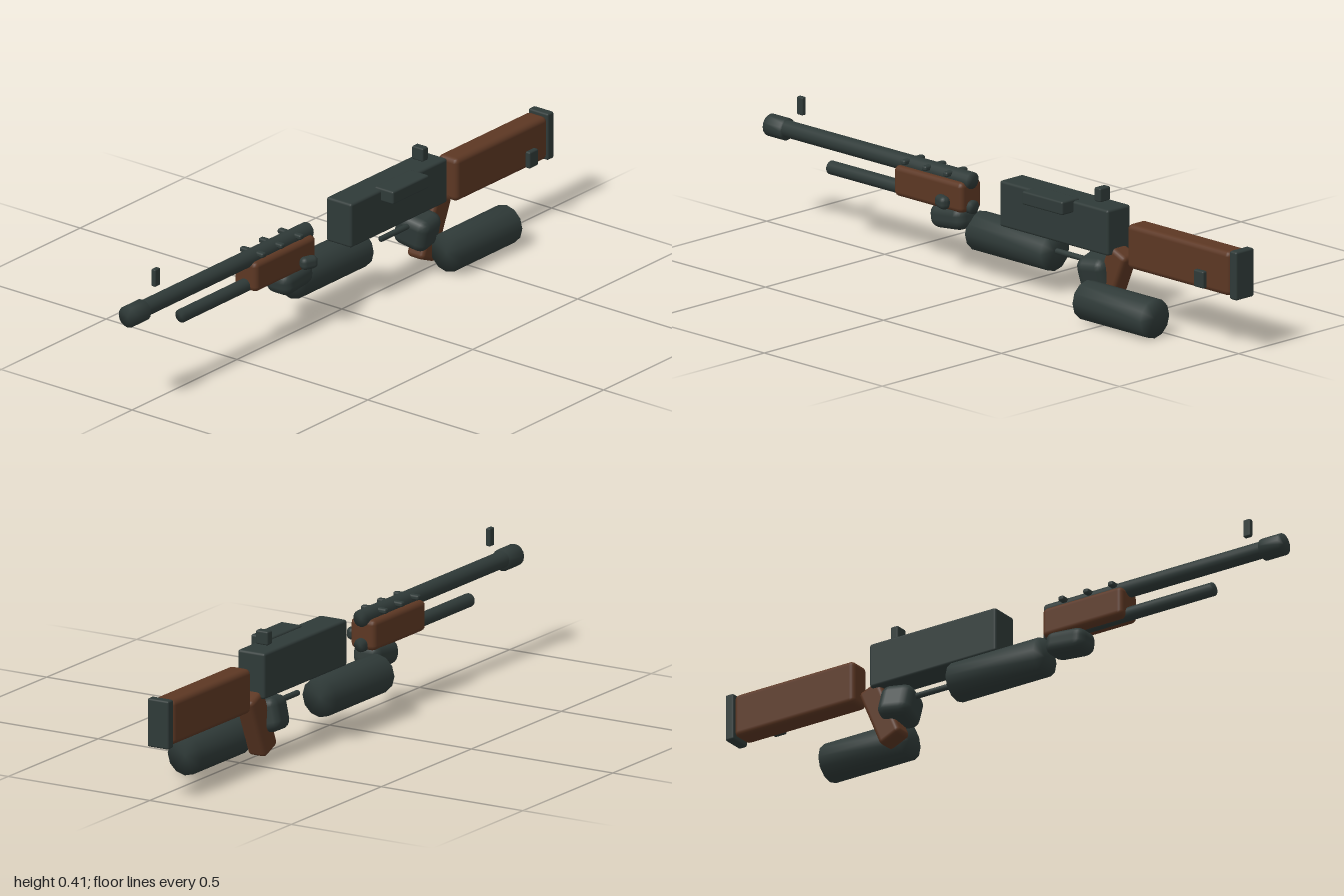
import * as THREE from 'three';
import { mergeVertices } from 'three/addons/utils/BufferGeometryUtils.js';
import { RoundedBoxGeometry } from 'three/addons/geometries/RoundedBoxGeometry.js';

const steel = new THREE.MeshStandardMaterial({ color: 0x2f3a38 });
steel.name = 'gunmetal';
const wood = new THREE.MeshStandardMaterial({ color: 0x5c3723 });
wood.name = 'walnut';

export function createModel() {
  const model = new THREE.Group();
  model.name = 'rifle';

  const add = (name, geometry, material, x, y, z) => {
    const mesh = new THREE.Mesh(geometry, material);
    mesh.name = name;
    mesh.position.set(x, y, z);
    model.add(mesh);
    return mesh;
  };

  // Rounded block given by its size and centre
  const block = (name, material, [w, h, d], [x, y, z], radius = 0.008) =>
    add(name, new RoundedBoxGeometry(w, h, d, 2, radius), material, x, y, z);

  // Bar along z from z0 to z1, with normals blended over its rims
  const bar = (name, radius, x, y, z0, z1, sides = 12) => {
    let geometry = new THREE.CylinderGeometry(radius, radius, z1 - z0, sides);
    geometry.rotateX(Math.PI / 2);
    geometry.deleteAttribute('uv');
    geometry.deleteAttribute('normal');
    geometry = mergeVertices(geometry);
    geometry.computeVertexNormals();
    return add(name, geometry, steel, x, y, (z0 + z1) / 2);
  };

  // Barrel, muzzle and the tube beneath
  bar('barrel', 0.026, -0.017, 0.298, 0.145, 0.94, 16);
  bar('muzzle', 0.034, -0.017, 0.296, 0.93, 1, 16);
  bar('underBarrelTube', 0.021, -0.018, 0.216, 0.14, 0.745, 14);

  // Fore-end with cross ribs, lower housing and side knob
  block('foreEnd', wood, [0.088, 0.095, 0.29], [-0.019, 0.247, 0.295], 0.016);
  for (const z of [0.4, 0.31, 0.22]) {
    block('crossRib', steel, [0.09, 0.016, 0.02], [-0.019, 0.31, z], 0.006);
  }
  const housing = block('foreEndHousing', steel, [0.094, 0.075, 0.14], [-0.02, 0.174, 0.225], 0.03);
  housing.rotation.x = 0.1;
  const knob = block('sideKnob', steel, [0.034, 0.04, 0.056], [0.043, 0.231, 0.212], 0.015);
  knob.rotation.y = -0.35;

  // Receiver and its side cover
  block('receiver', steel, [0.096, 0.142, 0.46], [-0.022, 0.269, -0.242], 0.008);
  block('sideCover', steel, [0.073, 0.042, 0.172], [0.036, 0.325, -0.24], 0.006);

  // Sights
  block('frontSight', steel, [0.016, 0.056, 0.025], [-0.015, 0.383, 0.868], 0.004);
  block('rearSight', steel, [0.043, 0.043, 0.027], [-0.022, 0.369, -0.4], 0.005);

  // Canisters slung on either side
  bar('forwardCanister', 0.061, -0.064, 0.131, -0.156, 0.163);
  bar('rearCanister', 0.061, 0.062, 0.061, -0.707, -0.42);

  // Grip, trigger housing and trigger rod
  const grip = block('grip', wood, [0.064, 0.204, 0.078], [-0.025, 0.117, -0.448], 0.014);
  grip.rotation.x = -0.4;
  const guard = block('triggerHousing', steel, [0.115, 0.108, 0.108], [-0.024, 0.129, -0.39], 0.03);
  guard.rotation.set(0.1, 0.15, -0.25);
  bar('triggerRod', 0.009, -0.02, 0.152, -0.34, -0.21, 10);

  // Stock, butt plate and sling stud
  block('stock', wood, [0.075, 0.138, 0.436], [-0.027, 0.24, -0.752], 0.016);
  block('buttPlate', steel, [0.075, 0.15, 0.03], [-0.028, 0.24, -0.985], 0.006);
  block('slingStud', steel, [0.018, 0.053, 0.042], [0.03, 0.212, -0.868], 0.005);

  return model;
}
